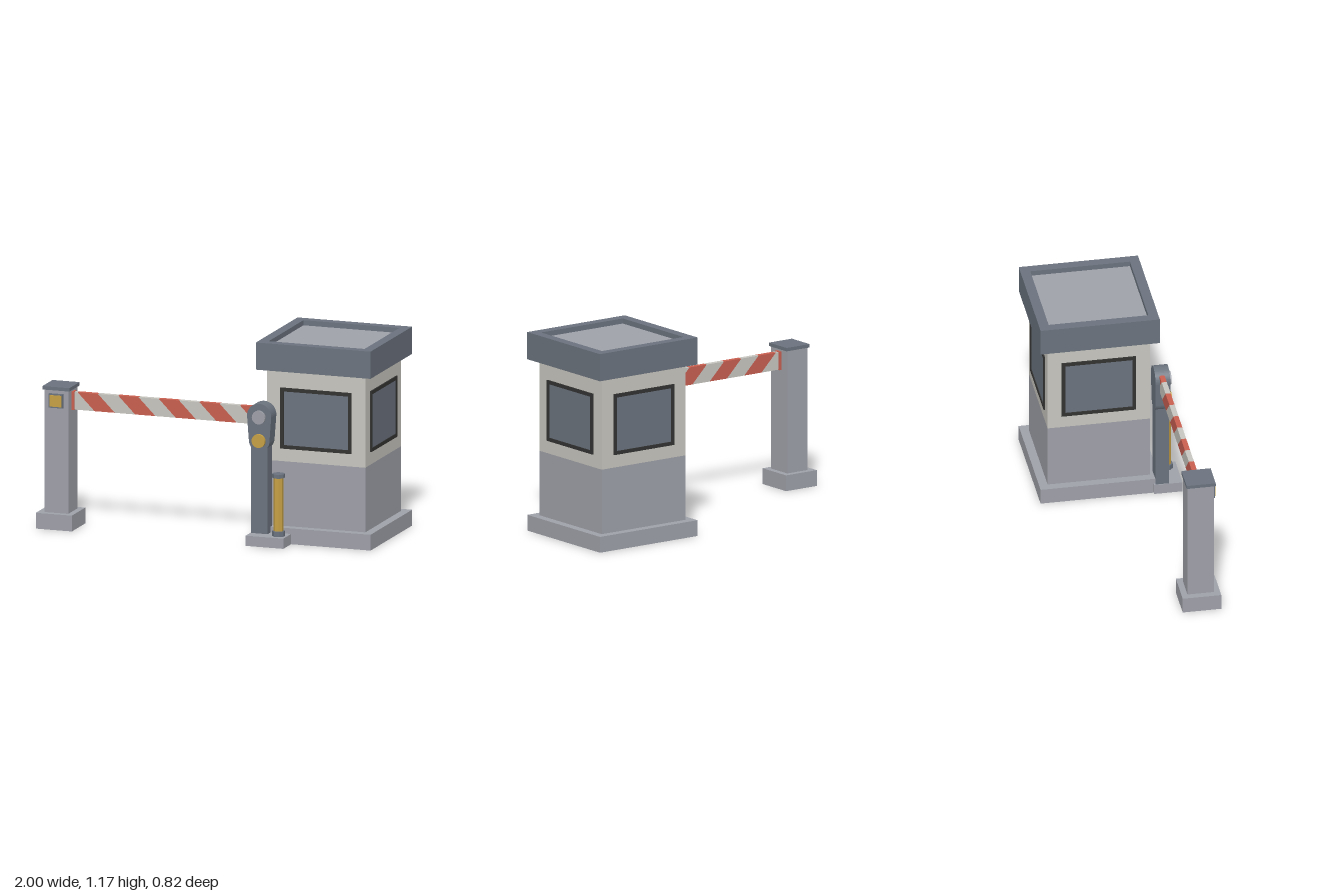
import * as THREE from 'three';

const mat = (name, color) => {
  const m = new THREE.MeshStandardMaterial({ color });
  m.name = name;
  return m;
};

export function createModel() {
  const slate = mat('slate', 0x6b737e);
  const concrete = mat('concrete', 0x9fa1a9);
  const cream = mat('cream', 0xc8c6bf);
  const frameDark = mat('frameDark', 0x333332);
  const red = mat('red', 0xc95f50);
  const yellow = mat('yellow', 0xc6a044);

  const group = (name, parent) => {
    const g = new THREE.Group();
    g.name = name;
    parent.add(g);
    return g;
  };
  const add = (parent, name, geo, material, x = 0, y = 0, z = 0) => {
    const m = new THREE.Mesh(geo, material);
    m.name = name;
    m.position.set(x, y, z);
    parent.add(m);
    return m;
  };
  // box from its lower and upper corners
  const box = (parent, name, material, x0, x1, y0, y1, z0, z1) =>
    add(parent, name, new THREE.BoxGeometry(x1 - x0, y1 - y0, z1 - z0), material,
      (x0 + x1) / 2, (y0 + y1) / 2, (z0 + z1) / 2);
  const poly = (pts) => new THREE.Shape(pts.map(([x, y]) => new THREE.Vector2(x, y)));
  const rect = (w, h) => [[-w / 2, -h / 2], [w / 2, -h / 2], [w / 2, h / 2], [-w / 2, h / 2]];
  const extrude = (shape, depth) =>
    new THREE.ExtrudeGeometry(shape, { depth, bevelEnabled: false, curveSegments: 12 });
  // rectangular border, extruded along z
  const border = (w, h, t, depth) => {
    const s = poly(rect(w, h));
    s.holes.push(poly(rect(w - 2 * t, h - 2 * t)));
    return extrude(s, depth);
  };

  const root = new THREE.Group();
  root.name = 'barrierGate';

  // Guard booth
  const booth = group('booth', root);
  const cx = 0.65, cz = -0.067;
  box(booth, 'boothBase', concrete, 0.3, 1, 0, 0.093, -0.415, 0.28);
  box(booth, 'lowerWalls', concrete, 0.35, 0.95, 0.093, 0.473, -0.365, 0.231);
  box(booth, 'upperWalls', cream, 0.35, 0.95, 0.473, 1.01, -0.365, 0.231);

  // Roof with a raised rim and a sunken deck
  add(booth, 'roofRim', border(0.7, 0.695, 0.057, 0.16), slate, cx, 1.01, cz).rotation.x = -Math.PI / 2;
  box(booth, 'roofUnderside', slate, 0.35, 0.95, 1.01, 1.1, -0.365, 0.231);
  box(booth, 'roofDeck', concrete, 0.355, 0.945, 1.1, 1.14, -0.36, 0.226);

  // One window on each wall
  for (let i = 0; i < 4; i++) {
    const w = group('window', booth);
    const a = i * Math.PI / 2;
    const d = i % 2 ? 0.3 : 0.298;
    w.position.set(cx + Math.sin(a) * d, 0.727, cz + Math.cos(a) * d);
    w.rotation.y = a;
    add(w, 'windowFrame', border(0.434, 0.358, 0.021, 0.008), frameDark);
    box(w, 'windowGlass', slate, -0.197, 0.197, -0.159, 0.159, 0, 0.003);
  }

  // Barrier post with its motor head
  const post = group('barrierPost', root);
  box(post, 'postPlinth', concrete, 0.285, 0.515, 0, 0.06, 0.245, 0.41);
  box(post, 'postColumn', slate, 0.29, 0.39, 0.06, 0.62, 0.254, 0.332);
  const head = new THREE.Shape();
  head.absarc(0, 0.75, 0.074, 0, Math.PI, false);
  head.absarc(0, 0.607, 0.063, Math.PI, 2 * Math.PI, false);
  add(post, 'motorHead', extrude(head, 0.086), slate, 0.34, 0, 0.25);
  const disc = (name, y, material, depth) => {
    add(post, name, new THREE.CylinderGeometry(0.04, 0.04, depth, 20), material,
      0.34, y, 0.336 + depth / 2).rotation.x = Math.PI / 2;
  };
  disc('pivotCap', 0.745, concrete, 0.014);
  disc('warningLamp', 0.607, yellow, 0.018);

  // Bollard in front of the post
  const bollard = group('bollard', root);
  const ring = (name, r, y0, y1, material) => {
    const geo = new THREE.CylinderGeometry(r, r, y1 - y0, 8).rotateY(Math.PI / 8).toNonIndexed();
    geo.computeVertexNormals();
    add(bollard, name, geo, material, 0.463, (y0 + y1) / 2, 0.348);
  };
  ring('bollardFoot', 0.038, 0.06, 0.09, slate);
  ring('bollardTube', 0.028, 0.09, 0.403, yellow);
  ring('bollardCap', 0.038, 0.403, 0.426, slate);

  // Striped arm, cut into slanted pieces
  const arm = group('barrierArm', root);
  const y0 = 0.695, y1 = 0.798, lean = 0.103, end = 0.34;
  const piece = (name, a, b, material, a0 = a + lean) =>
    add(arm, name, extrude(poly([[a0, y0], [Math.min(b + lean, end), y0],
      [Math.min(b, end), y1], [a, y1]]), 0.03), material, 0, 0, 0.275);
  piece('armStart', -0.8, -0.78, cream, -0.8);
  for (let i = 0; i < 9; i++) {
    const a = -0.78 + i * 0.124;
    piece('armStripe', a, a + 0.124, i % 2 ? cream : red);
  }
  box(arm, 'armEndPlate', red, -0.82, -0.8, 0.692, 0.801, 0.27, 0.31);

  // Rest post at the far end of the arm
  const rest = group('restPost', root);
  box(rest, 'restBase', concrete, -1, -0.78, 0, 0.093, 0.177, 0.402);
  box(rest, 'restColumn', concrete, -0.96, -0.815, 0.093, 0.815, 0.212, 0.366);
  box(rest, 'restCap', slate, -0.97, -0.805, 0.815, 0.835, 0.205, 0.375);
  box(rest, 'reflectorFrame', slate, -0.93, -0.845, 0.712, 0.795, 0.366, 0.378);
  box(rest, 'reflector', yellow, -0.922, -0.853, 0.72, 0.787, 0.378, 0.383);

  return root;
}
